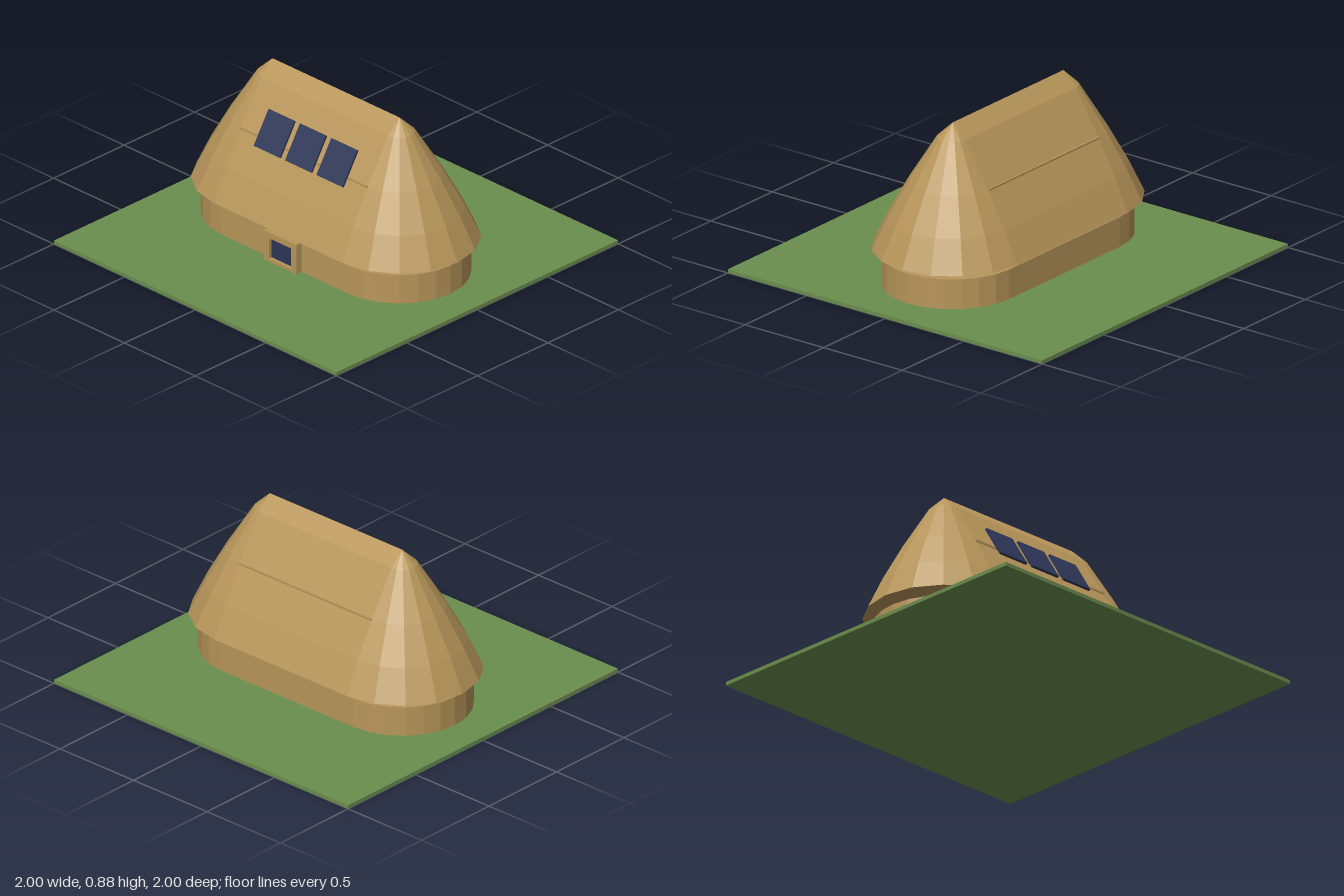
import * as THREE from 'three';

const HALF = 0.45; // half length of the straight middle

// Rounded-end outline: straight sides with a half circle at each end
function outline(r, seg) {
  const pts = [];
  for (const side of [1, -1]) {
    for (let i = 0; i <= seg; i++) {
      const a = -Math.PI / 2 + (Math.PI * i) / seg;
      pts.push([side * (HALF + r * Math.cos(a)), side * r * Math.sin(a)]);
    }
  }
  return pts;
}

// Faceted roof lofted through shrinking outlines up to the ridge
function roofGeometry() {
  const profile = [[0.41, 0.215], [0.33, 0.385], [0.225, 0.575], [0.08, 0.81], [0, 0.885]];
  const rings = profile.map(([r, y]) => outline(r, 8).map(([x, z]) => new THREE.Vector3(x, y, z)));
  const pos = [];
  const tri = (a, b, c) => {
    const n = b.clone().sub(a).cross(c.clone().sub(a));
    if (n.length() > 1e-8) for (const p of [a, b, c]) pos.push(p.x, p.y, p.z);
  };
  const count = rings[0].length;
  const centre = new THREE.Vector3(0, profile[0][1], 0);
  for (let i = 0; i < count; i++) {
    const j = (i + 1) % count;
    for (let k = 0; k < rings.length - 1; k++) {
      const lo = rings[k], hi = rings[k + 1];
      tri(lo[i], hi[i], lo[j]);
      tri(lo[j], hi[i], hi[j]);
    }
    tri(centre, rings[0][i], rings[0][j]); // underside
  }
  const g = new THREE.BufferGeometry();
  g.setAttribute('position', new THREE.Float32BufferAttribute(pos, 3));
  g.computeVertexNormals();
  return g;
}

export function createModel() {
  const material = (name, color) => {
    const m = new THREE.MeshStandardMaterial({ color });
    m.name = name;
    return m;
  };
  const straw = material('straw', 0xb8965a);
  const grass = material('grass', 0x6b8e4e);
  const navy = material('navy', 0x2d3658);

  const model = new THREE.Group();
  model.name = 'longHouse';
  const add = (name, geometry, mat, x = 0, y = 0, z = 0) => {
    const mesh = new THREE.Mesh(geometry, mat);
    mesh.name = name;
    mesh.position.set(x, y, z);
    model.add(mesh);
    return mesh;
  };

  // Ground plate
  add('ground', new THREE.BoxGeometry(2, 0.02, 2), grass, 0, 0.01, 0);

  // Low wall
  const wallShape = new THREE.Shape(outline(0.36, 12).map(([x, z]) => new THREE.Vector2(x, z)));
  const wall = new THREE.ExtrudeGeometry(wallShape, { depth: 0.16, bevelEnabled: false });
  wall.rotateX(-Math.PI / 2);
  add('wall', wall, straw, 0, 0.02, 0);

  // Roof, floating just above the wall
  add('roof', roofGeometry(), straw);

  // Long rails along both slopes
  for (const side of [1, -1]) {
    const name = side > 0 ? 'frontRail' : 'backRail';
    add(name, new THREE.BoxGeometry(HALF * 2, 0.01, 0.012), straw, 0, 0.575, side * 0.225);
  }

  // Door frame with a recessed pane
  const frame = new THREE.Shape();
  frame.moveTo(-0.115, 0.02).lineTo(0.115, 0.02).lineTo(0.115, 0.185).lineTo(-0.115, 0.185).closePath();
  const hole = new THREE.Path();
  hole.moveTo(-0.078, 0.037).lineTo(-0.078, 0.152).lineTo(0.078, 0.152).lineTo(0.078, 0.037).closePath();
  frame.holes.push(hole);
  const frameGeometry = new THREE.ExtrudeGeometry(frame, { depth: 0.045, bevelEnabled: false });
  add('doorFrame', frameGeometry, straw, 0, 0, 0.352);
  add('doorPane', new THREE.BoxGeometry(0.156, 0.115, 0.008), navy, 0, 0.0945, 0.374);

  // Three solar panels on the front slope
  for (const x of [-0.222, 0, 0.222]) {
    const panel = add('solarPanel', new THREE.BoxGeometry(0.184, 0.2, 0.012), navy, x, 0.622, 0.212);
    panel.rotation.x = -0.555;
  }

  // Crisp facets on the roof
  return model;
}
